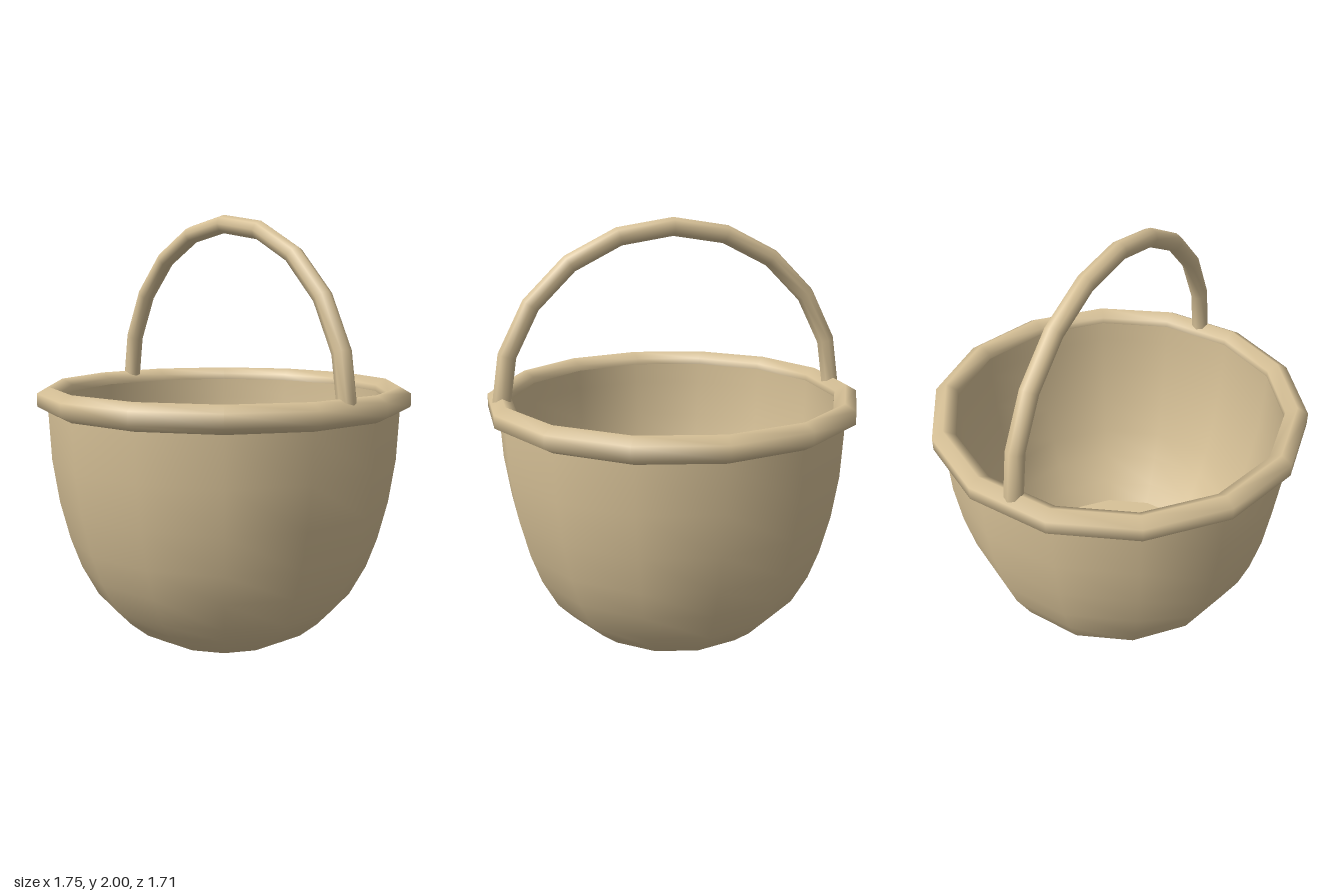
import * as THREE from 'three';
import { mergeVertices } from 'three/addons/utils/BufferGeometryUtils.js';

const SIDES = 14;

export function createModel() {
  const group = new THREE.Group();
  const material = new THREE.MeshStandardMaterial({ color: 0xd8c298 });

  const add = (name, geometry) => {
    const mesh = new THREE.Mesh(geometry, material);
    mesh.name = name;
    group.add(mesh);
    return mesh;
  };

  // Revolves [radius, height] pairs, with a corner of the polygon on the x axis
  const revolve = (profile) => {
    const points = profile.map(([r, y]) => new THREE.Vector2(r, y));
    const geometry = new THREE.LatheGeometry(points, SIDES, Math.PI / 2);
    geometry.deleteAttribute('uv');
    geometry.deleteAttribute('normal');
    const smooth = mergeVertices(geometry, 1e-4);
    smooth.computeVertexNormals();
    return smooth;
  };

  // Bowl-shaped outer wall, bottom to top
  add('outerWall', revolve([
    [0.33, 0], [0.35, 0.01], [0.45, 0.065], [0.54, 0.14], [0.615, 0.22], [0.69, 0.36],
    [0.74, 0.5], [0.785, 0.68], [0.815, 0.88], [0.825, 1.08], [0.825, 1.16],
  ]));

  // Inner wall, top to bottom so that it faces inwards
  add('innerWall', revolve([
    [0.77, 1.16], [0.77, 1.06], [0.76, 0.88], [0.73, 0.68], [0.685, 0.5],
    [0.635, 0.36], [0.56, 0.22], [0.5, 0.13],
  ]));

  // Flat discs closing the inside and the underside
  const floor = add('floor', new THREE.CircleGeometry(0.5, SIDES));
  floor.rotation.x = -Math.PI / 2;
  floor.position.y = 0.13;
  const base = add('base', new THREE.CircleGeometry(0.33, SIDES));
  base.rotation.x = Math.PI / 2;

  // Six-sided rolled rim
  const rim = [];
  for (let i = 0; i <= 6; i++) {
    const a = -Math.PI / 2 + (i * Math.PI) / 3;
    rim.push([0.823 + 0.06 * Math.cos(a), 1.16 + 0.06 * Math.sin(a)]);
  }
  add('rim', revolve(rim));

  // Arched handle from front to back, its ends sunk into the rim
  const handle = add('handle', new THREE.TorusGeometry(0.8, 0.042, 8, 10, Math.PI));
  handle.rotation.y = Math.PI / 2;
  handle.scale.x = 1.01;
  handle.position.y = 1.158;

  return group;
}
